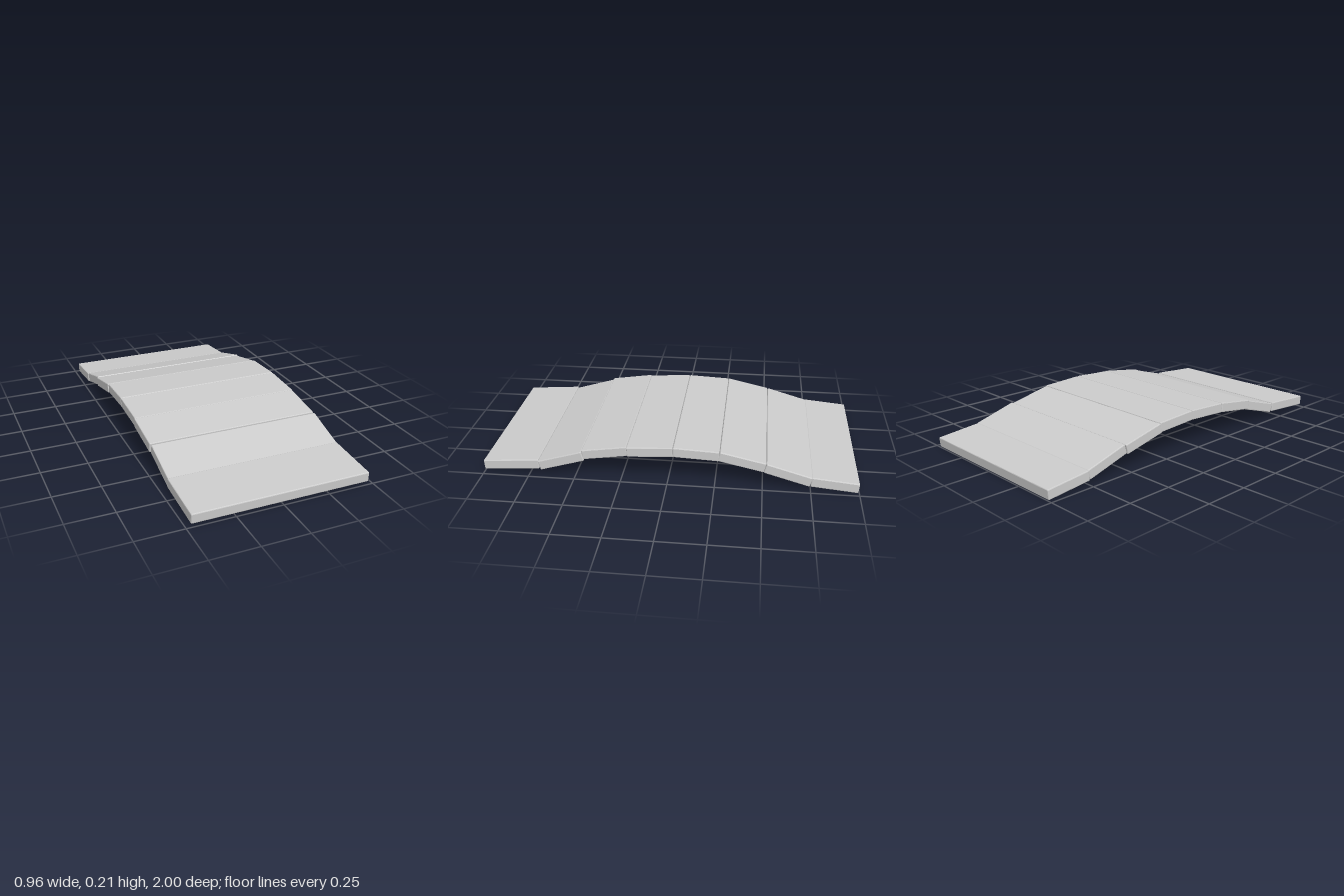
import * as THREE from 'three';
import { RoundedBoxGeometry } from 'three/addons/geometries/RoundedBoxGeometry.js';

const WIDTH = 0.95, THICK = 0.054, BEVEL = 0.005;

// Centre line of each plank from front to back: z0, y0, z1, y1, sideways shift
const PLANKS = [
  [0.998, 0.047, 0.694, 0.069, 0],
  [0.692, 0.063, 0.452, 0.134, 0.004],
  [0.456, 0.139, 0.214, 0.174, -0.004],
  [0.216, 0.172, -0.028, 0.186, 0],
  [-0.028, 0.186, -0.270, 0.175, 0],
  [-0.268, 0.174, -0.510, 0.121, -0.004],
  [-0.510, 0.124, -0.750, 0.055, 0.004],
  [-0.750, 0.055, -0.997, 0.032, 0],
];

export function createModel() {
  const group = new THREE.Group();
  group.name = 'archedPlankBridge';
  const material = new THREE.MeshStandardMaterial({ color: 0xcccccc, flatShading: true });

  // Bevelled planks laid end to end along the arch
  PLANKS.forEach(([z0, y0, z1, y1, shift], i) => {
    const length = Math.hypot(z1 - z0, y1 - y0);
    const plank = new THREE.Mesh(new RoundedBoxGeometry(WIDTH, THICK, length, 1, BEVEL), material);
    plank.name = `plank${i + 1}`;
    plank.position.set(shift, (y0 + y1) / 2, (z0 + z1) / 2);
    plank.rotation.x = Math.atan2(y1 - y0, z0 - z1);
    group.add(plank);
  });
  return group;
}
